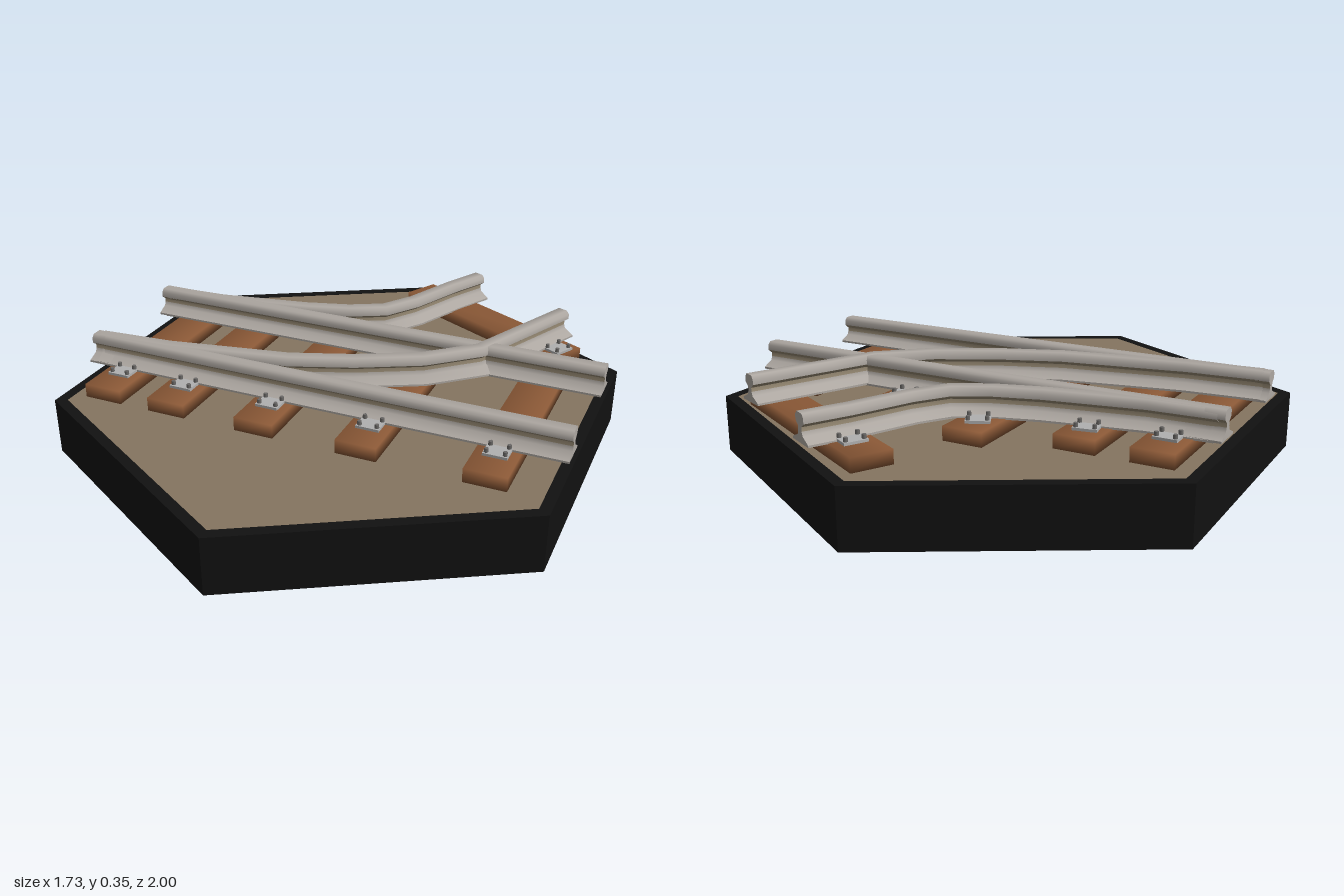
import * as THREE from 'three';
import { mergeVertices, toCreasedNormals } from 'three/addons/utils/BufferGeometryUtils.js';

const mat = (name, color) => {
  const m = new THREE.MeshStandardMaterial({ color });
  m.name = name;
  return m;
};

// Hexagon outline with corners on the z axis
const hexPoints = (r) => Array.from({ length: 6 }, (_, k) => {
  const a = Math.PI / 2 + k * Math.PI / 3;
  return new THREE.Vector2(r * Math.cos(a), r * Math.sin(a));
});

const extrudeUp = (shape, y, depth) =>
  new THREE.ExtrudeGeometry(shape, { depth, bevelEnabled: false }).rotateX(-Math.PI / 2).translate(0, y, 0);

// Box with soft shared normals
function softBox(w, h, d) {
  const g = new THREE.BoxGeometry(w, h, d);
  g.deleteAttribute('normal');
  g.deleteAttribute('uv');
  const merged = mergeVertices(g);
  merged.clearGroups();
  merged.computeVertexNormals();
  return merged;
}

// Right half of the rail section, from foot to head: [offset, height]
const HALF = [[0.055, 0.25], [0.055, 0.257], [0.018, 0.274], [0.012, 0.288], [0.012, 0.302],
  [0.029, 0.315], [0.029, 0.333], [0.018, 0.345]];
const PROFILE = [...HALF, ...HALF.map(([u, y]) => [-u, y]).reverse()];
const WEATHERED = [3, 4, 10, 11]; // section edges of the upper web

// Sweep the rail section along a flat path of [x, z] points with mitred bends
function railGeometry(path, drop = 0) {
  const pts = path.map(([x, z]) => new THREE.Vector2(x, z));
  const n = PROFILE.length;
  const pos = [], steel = [], rust = [];
  pts.forEach((p, i) => {
    const before = p.clone().sub(pts[Math.max(i - 1, 0)]).normalize();
    const after = pts[Math.min(i + 1, pts.length - 1)].clone().sub(p).normalize();
    const dir = before.clone().add(after).normalize();
    const ref = i === 0 ? after : before;
    const stretch = 1 / dir.dot(ref);
    for (const [u, y] of PROFILE) {
      pos.push(p.x - dir.y * u * stretch, y - drop, p.y + dir.x * u * stretch);
    }
  });
  for (let i = 0; i < pts.length - 1; i++) {
    for (let j = 0; j < n; j++) {
      const a = i * n + j, b = i * n + (j + 1) % n;
      (WEATHERED.includes(j) ? rust : steel).push(a, a + n, b, b, a + n, b + n);
    }
  }
  // End caps
  const last = (pts.length - 1) * n;
  const outline = PROFILE.map(([u, y]) => new THREE.Vector2(u, y));
  for (const [a, b, c] of THREE.ShapeUtils.triangulateShape(outline, [])) {
    steel.push(a, b, c, last + a, last + c, last + b);
  }
  const g = new THREE.BufferGeometry();
  g.setAttribute('position', new THREE.Float32BufferAttribute(pos, 3));
  g.setIndex([...steel, ...rust]);
  g.addGroup(0, steel.length, 0);
  g.addGroup(steel.length, rust.length, 1);
  return toCreasedNormals(g, 0.9);
}

export function createModel() {
  const black = mat('black rim', 0x111111);
  const earth = mat('earth', 0x857560);
  const wood = mat('brown wood', 0x8a5836);
  const steel = mat('rail steel', 0xaea8a2);
  const rust = mat('weathered steel', 0x958872);
  const plateGrey = mat('plate grey', 0xb0b0b0);
  const boltGrey = mat('bolt grey', 0x6a6866);

  const model = new THREE.Group();
  model.name = 'railSwitchTile';
  const add = (name, geometry, material, parent = model) => {
    const m = new THREE.Mesh(geometry, material);
    m.name = name;
    parent.add(m);
    return m;
  };

  // Hollow hexagonal base with a thin ground sheet on top
  const wall = new THREE.Shape(hexPoints(1));
  wall.holes.push(new THREE.Path(hexPoints(0.957)));
  add('baseWall', extrudeUp(wall, 0, 0.2), black);
  add('ground', extrudeUp(new THREE.Shape(hexPoints(0.957)), 0.188, 0.011), earth);

  // Sleepers: [x, back z]
  const front = 0.435;
  for (const [x, back] of [[-0.71, -0.44], [-0.46, -0.44], [-0.13, -0.54], [0.23, -0.44], [0.65, -0.35]]) {
    add('sleeper', softBox(0.14, 0.048, front - back), wood).position.set(x, 0.226, (front + back) / 2);
  }
  const slanted = add('slantedSleeper', softBox(0.795, 0.048, 0.138), wood);
  slanted.position.set(0.335, 0.226, -0.66);
  slanted.rotation.y = -0.486;

  // Straight and branching rails
  const rails = [
    ['backRail', [[-0.866, -0.235], [0.866, -0.235]], 0],
    ['frontRail', [[-0.866, 0.228], [0.866, 0.228]], 0],
    ['backBranchRail', [[-0.84, -0.235], [-0.62, -0.245], [-0.29, -0.305], [-0.13, -0.352], [-0.01, -0.415],
      [0.065, -0.53], [0.15, -0.73], [0.222, -0.87]], 0.002],
    ['frontBranchRail', [[-0.84, 0.228], [-0.58, 0.207], [-0.15, 0.125], [0.06, 0.045], [0.27, -0.065],
      [0.43, -0.21], [0.5, -0.37], [0.62, -0.64]], -0.002],
  ];
  for (const [name, path, drop] of rails) add(name, railGeometry(path, drop), [steel, rust]);

  // Fastening plates with four bolts: [x, z, turn]
  const plateGeo = new THREE.BoxGeometry(0.08, 0.009, 0.07);
  const boltGeo = new THREE.CylinderGeometry(0.007, 0.008, 0.016, 6);
  const plates = [[-0.71, -0.31, 0], [-0.46, -0.345, 0.17], [-0.13, -0.44, 0.45], [0.23, -0.31, 0],
    [0.65, -0.31, 0], [0.1, -0.785, 1.08], [0.645, -0.49, 1.08]];
  for (const x of [-0.71, -0.46, -0.13, 0.23, 0.65]) plates.push([x, 0.305, 0]);
  for (const [x, z, turn] of plates) {
    const fastening = new THREE.Group();
    fastening.name = 'fastening';
    fastening.position.set(x, 0.2545, z);
    fastening.rotation.y = turn;
    add('plate', plateGeo, plateGrey, fastening);
    for (const sx of [-1, 1]) {
      for (const sz of [-1, 1]) {
        add('bolt', boltGeo, boltGrey, fastening).position.set(sx * 0.03, 0.01, sz * 0.023);
      }
    }
    model.add(fastening);
  }
  return model;
}
